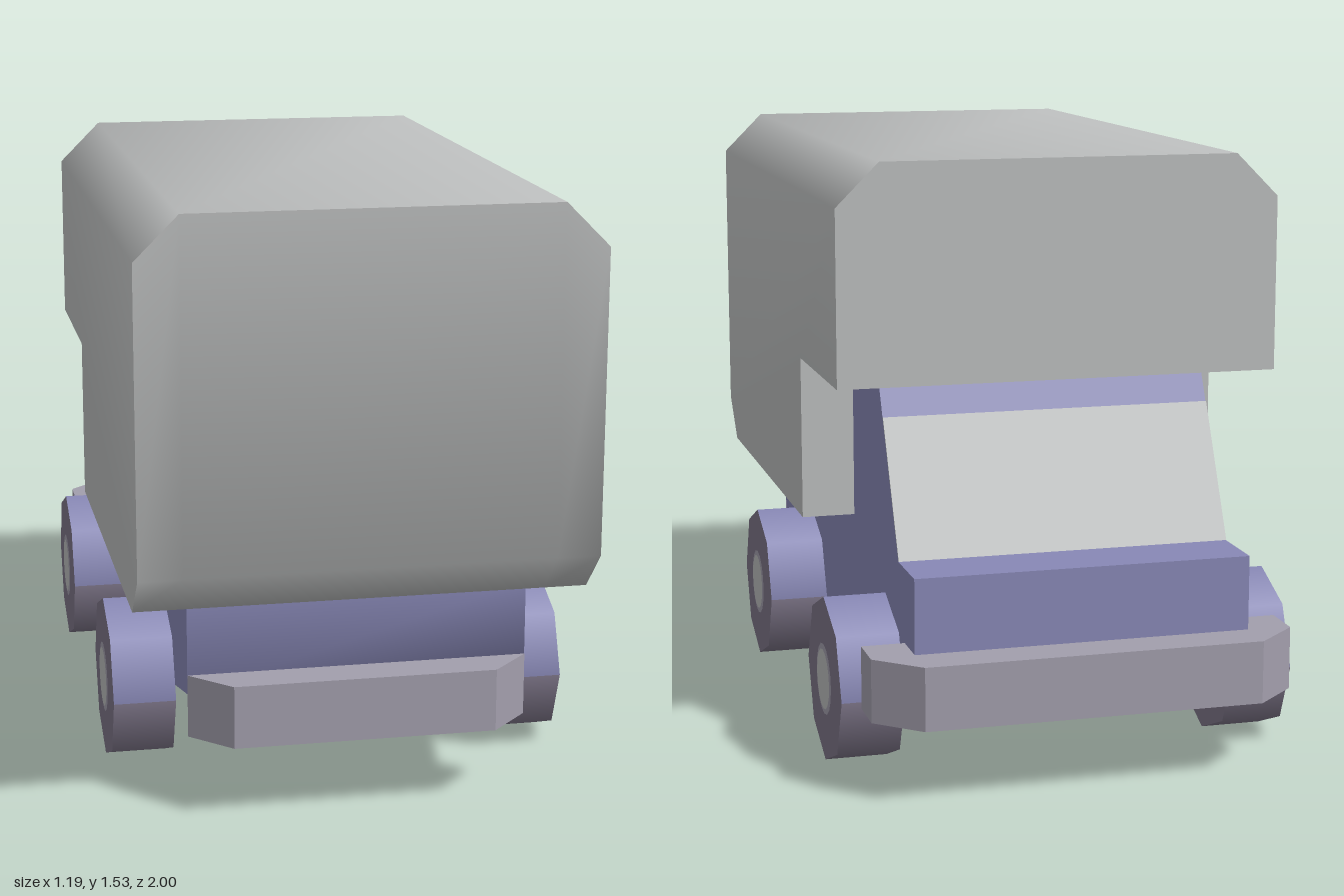
import * as THREE from 'three';
import { toCreasedNormals } from 'three/addons/utils/BufferGeometryUtils.js';

const material = (name, color, side = THREE.FrontSide) => {
  const m = new THREE.MeshStandardMaterial({ color, side });
  m.name = name;
  return m;
};

const toShape = (points) => new THREE.Shape(points.map(([a, b]) => new THREE.Vector2(a, b)));

// Side profile of [z, y] points, extruded across x and centred
function acrossX(points, width, steps = 1) {
  const g = new THREE.ExtrudeGeometry(toShape(points), { depth: width, steps, bevelEnabled: false });
  return g.translate(0, 0, -width / 2).rotateY(-Math.PI / 2);
}

// Plan outline of [x, z] points, extruded from y0 up to y1
function upright(points, y0, y1) {
  const g = new THREE.ExtrudeGeometry(toShape(points), { depth: y1 - y0, bevelEnabled: false });
  return g.rotateX(Math.PI / 2).translate(0, y1, 0);
}

export function createModel() {
  const model = new THREE.Group();
  model.name = 'camperVan';

  const shellGrey = material('shell grey', 0xbcbebe);
  const bodyBlue = material('body blue', 0x8888b6);
  const bumperGrey = material('bumper grey', 0xa29eac);
  const tyreGrey = material('tyre grey', 0x7e7689);

  const add = (name, geometry, mat, parent = model) => {
    const mesh = new THREE.Mesh(geometry, mat);
    mesh.name = name;
    parent.add(mesh);
    return mesh;
  };

  // Living shell: side profile in three slices, the outer top edges lowered to chamfer the roof
  const shell = acrossX([
    [1, 0.66], [1, 1.535], [-0.675, 1.535], [-0.675, 0.98],
    [-0.195, 0.98], [-0.195, 0.55], [0.89, 0.55],
  ], 1.14, 3);
  const p = shell.attributes.position;
  for (let i = 0; i < p.count; i++) {
    const x = p.getX(i);
    if (Math.abs(x) < 0.5) p.setX(i, Math.sign(x) * 0.46);
    else if (p.getY(i) > 1.5) p.setY(i, 1.425);
  }
  add('livingShell', toCreasedNormals(shell, 0.9), shellGrey);

  // Chassis with bonnet and sloping tail
  const chassis = acrossX([
    [0.835, 0.55], [0.835, 0.31], [0.4, 0.2], [-0.892, 0.2], [-0.892, 0.55],
  ], 0.86);
  add('chassis', toCreasedNormals(chassis, 1.4), bodyBlue);

  // Cab with raked front
  add('cab', acrossX([
    [-0.195, 0.55], [-0.195, 0.98], [-0.505, 0.98], [-0.722, 0.55],
  ], 0.86), bodyBlue);

  // Windscreen plate on the lower part of the rake
  add('windscreen', acrossX([
    [-0.722, 0.55], [-0.555, 0.881], [-0.559, 0.883], [-0.726, 0.551],
  ], 0.86), shellGrey);

  // Wrap-around bumper at the cab end
  add('cabBumper', upright([
    [-0.43, -1], [0.43, -1], [0.54, -0.9], [0.54, -0.785], [0.43, -0.785],
    [0.43, -0.892], [-0.43, -0.892], [-0.43, -0.785], [-0.54, -0.785], [-0.54, -0.9],
  ], 0.2, 0.36), bumperGrey);

  // Tapered bumper at the tail
  add('tailBumper', upright([
    [-0.43, 0.838], [0.43, 0.838], [0.33, 0.94], [-0.33, 0.94],
  ], 0.2, 0.36), bumperGrey);

  // Wheels: octagonal, upper tread painted as a mudguard
  const R = 0.215, W = 0.16;
  const tread = (start) =>
    new THREE.CylinderGeometry(R, R, W, 4, 1, true, start, Math.PI).rotateZ(Math.PI / 2);
  const disc = (radius, sides) => new THREE.CircleGeometry(radius, sides).rotateY(Math.PI / 2);

  for (const [end, z] of [['cab', -0.57], ['tail', 0.415]]) {
    for (const [side, s] of [['Left', 1], ['Right', -1]]) {
      const wheel = new THREE.Group();
      wheel.name = end + 'Wheel' + side;
      wheel.position.set(s * 0.51, 0.217, z);
      if (s < 0) wheel.rotation.y = Math.PI;

      // After the turn, the cylinder's +x half lies at the top
      add('mudguard', tread(0), bodyBlue, wheel);
      add('tyreTread', tread(Math.PI), tyreGrey, wheel);
      add('tyreOuterWall', disc(R, 8), tyreGrey, wheel).position.x = W / 2;
      const inner = add('tyreInnerWall', disc(R, 8), tyreGrey, wheel);
      inner.position.x = -W / 2;
      inner.rotation.y = Math.PI;
      add('hubRing', disc(0.092, 16), bumperGrey, wheel).position.x = W / 2 + 0.002;
      add('hubCap', disc(0.078, 16), shellGrey, wheel).position.x = W / 2 + 0.004;
      model.add(wheel);
    }
  }
  return model;
}
